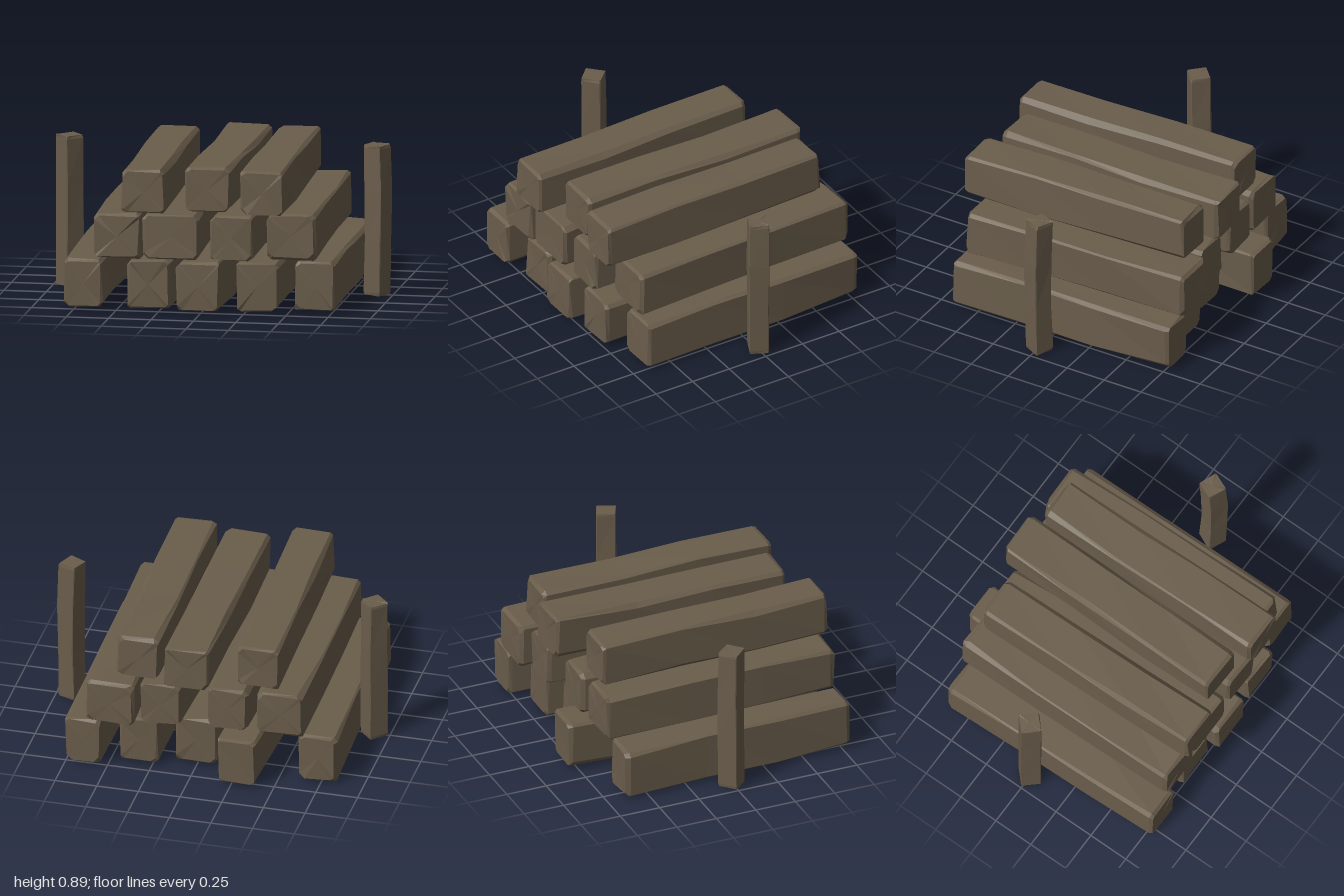
import * as THREE from 'three';

// Small seeded generator for the hand-hewn unevenness
function seeded(seed) {
  let s = seed * 7919 + 17;
  return () => {
    s = (s * 16807) % 2147483647;
    return s / 2147483647;
  };
}

// Chamfered rectangle, anticlockwise, with an uneven cut on each corner
function section(x0, x1, y0, y1, z, cut, jitter, rand) {
  const corners = [[x0, y0, 1, 1], [x1, y0, -1, 1], [x1, y1, -1, -1], [x0, y1, 1, -1]];
  const ring = [];
  corners.forEach(([x, y, dx, dy], i) => {
    const c = cut * (0.3 + rand());
    const d = c * (0.6 + 0.6 * rand());
    x += dx * jitter * rand();
    y += dy * jitter * rand();
    const along = new THREE.Vector3(x + dx * c, y, z + (rand() - 0.5) * jitter);
    const up = new THREE.Vector3(x, y + dy * d, z + (rand() - 0.5) * jitter);
    ring.push(...(i % 2 ? [along, up] : [up, along]));
  });
  return ring;
}

// Skin the rings from back (-z) to front (+z) and cap both ends
function skin(rings) {
  const pos = [];
  const tri = (...pts) => pts.forEach((p) => pos.push(p.x, p.y, p.z));
  const n = rings[0].length;
  for (let r = 0; r < rings.length - 1; r++) {
    const a = rings[r], b = rings[r + 1];
    for (let i = 0; i < n; i++) {
      const j = (i + 1) % n;
      tri(a[i], a[j], b[j]);
      tri(a[i], b[j], b[i]);
    }
  }
  const first = rings[0], last = rings[rings.length - 1];
  const middle = (ring) => ring.reduce((m, p) => m.add(p), new THREE.Vector3()).divideScalar(n);
  const m0 = middle(first), m1 = middle(last);
  for (let i = 0; i < n; i++) {
    const j = (i + 1) % n;
    tri(m0, first[j], first[i]);
    tri(m1, last[i], last[j]);
  }
  const geo = new THREE.BufferGeometry();
  geo.setAttribute('position', new THREE.Float32BufferAttribute(pos, 3));
  return geo;
}

// Beam tapering between its back and front widths, with slightly worn ends
function beam({ back, front, y, z, cut = 0.026, jitter = 0.012, bend = 0, wear = 0.01, seed }) {
  const rand = seeded(seed);
  const len = z[1] - z[0];
  const worn = Math.min(0.02, len * 0.02);
  const stations = [0, worn / len, 0.36, 0.68, 1 - worn / len, 1];
  const rings = stations.map((t, i) => {
    const inset = i === 0 || i === stations.length - 1 ? wear : 0;
    const shift = bend * Math.sin(Math.PI * t);
    const x0 = THREE.MathUtils.lerp(back[0], front[0], t) + shift + inset;
    const x1 = THREE.MathUtils.lerp(back[1], front[1], t) + shift - inset;
    return section(x0, x1, y[0] + inset, y[1] - inset, z[0] + len * t, cut, jitter, rand);
  });
  const geo = skin(rings);
  return geo;
}

export function createModel() {
  const group = new THREE.Group();
  group.name = 'timberStack';
  const wood = new THREE.MeshStandardMaterial({ color: 0x6a5d4b });
  wood.name = 'weathered brown wood';
  wood.flatShading = true;

  const add = (geo, name, parent) => {
    geo.computeVertexNormals();
    const mesh = new THREE.Mesh(geo, wood);
    mesh.name = name;
    parent.add(mesh);
    return mesh;
  };

  // Stacked beams: [back left, back right, front left, front right, back z, front z]
  const rows = [
    { name: 'bottomBeam', y: [0.01, 0.31], beams: [
      [-0.85, -0.61, -0.81, -0.57, -0.64, 0.79],
      [-0.41, -0.17, -0.44, -0.18, -0.81, 0.75],
      [-0.12, 0.13, -0.15, 0.12, -0.62, 0.79],
      [0.21, 0.45, 0.20, 0.46, -0.69, 0.75],
      [0.53, 0.755, 0.53, 0.78, -0.785, 0.66],
    ] },
    { name: 'middleBeam', y: [0.305, 0.58], beams: [
      [-0.655, -0.37, -0.64, -0.35, -0.68, 0.77],
      [-0.33, -0.08, -0.35, -0.01, -0.70, 0.75],
      [0.06, 0.315, 0.045, 0.31, -0.74, 0.73],
      [0.33, 0.62, 0.36, 0.66, -0.80, 0.64],
    ] },
    { name: 'topBeam', y: [0.58, 0.85], beams: [
      [-0.505, -0.24, -0.465, -0.20, -0.64, 0.80],
      [-0.11, 0.165, -0.11, 0.165, -0.765, 0.69],
      [0.20, 0.46, 0.225, 0.49, -0.71, 0.75],
    ] },
  ];
  rows.forEach((row, r) => {
    const rowGroup = new THREE.Group();
    rowGroup.name = row.name + 'Row';
    row.beams.forEach(([b0, b1, f0, f1, z0, z1], i) => {
      const geo = beam({ back: [b0, b1], front: [f0, f1], y: row.y, z: [z0, z1], seed: 11 + r * 10 + i });
      add(geo, row.name + (i + 1), rowGroup);
    });
    group.add(rowGroup);
  });

  // Upright stakes on both sides, turned about their own axis
  const stakes = [
    { name: 'rightStake', x: -0.908, half: 0.063, turn: 0.74, bend: 0.002 },
    { name: 'leftStake', x: 0.905, half: 0.061, turn: -0.43, bend: 0.01 },
  ];
  stakes.forEach(({ name, x, half, turn, bend }, i) => {
    const w = [-half, half];
    const geo = beam({ back: w, front: w, y: w, z: [0, 0.885], cut: 0.006, jitter: 0.006, wear: 0.003, bend, seed: 71 + i });
    geo.rotateX(-Math.PI / 2);
    geo.rotateY(turn);
    geo.translate(x, 0.002, -0.005);
    add(geo, name, group);
  });

  return group;
}
